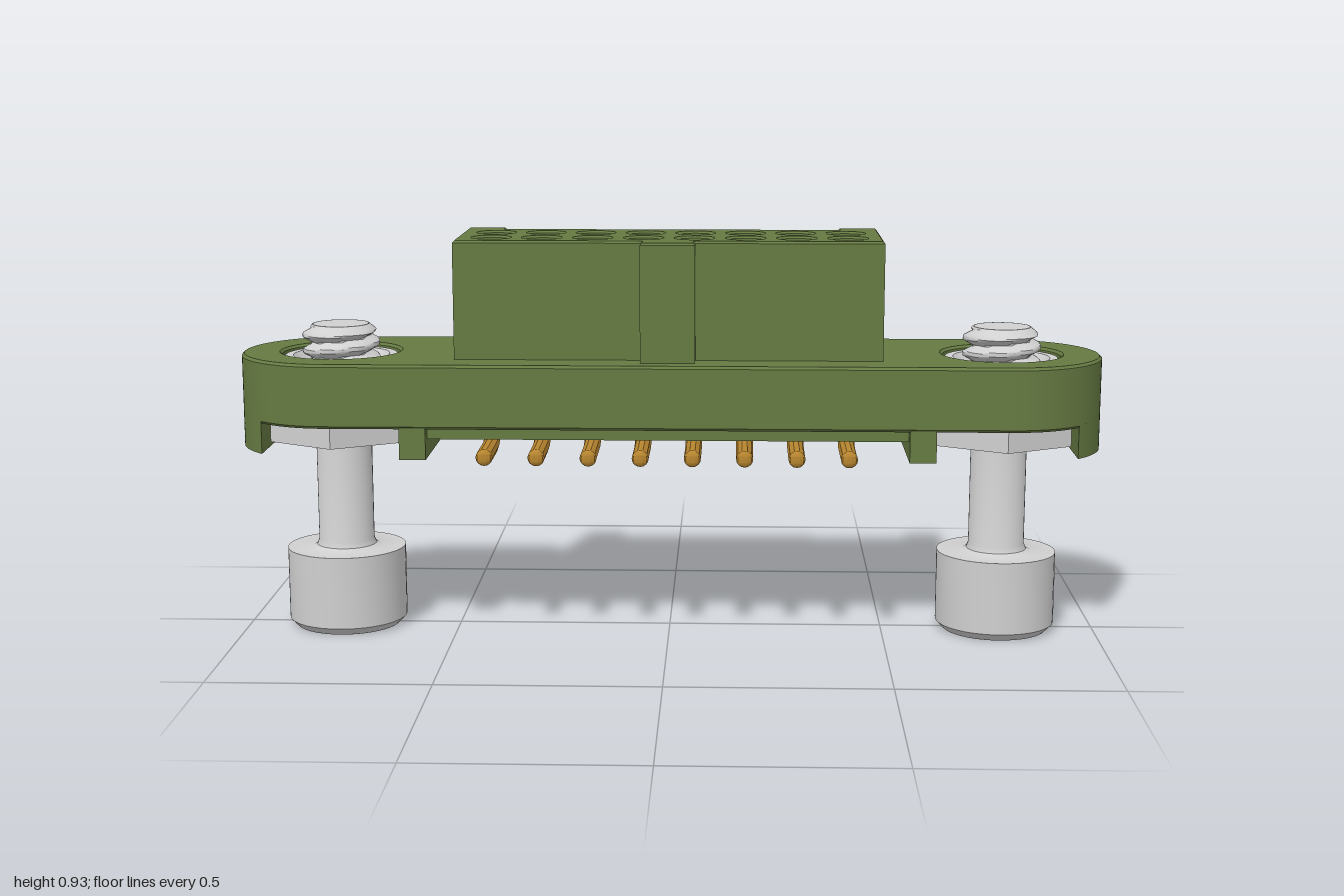
import * as THREE from 'three';
import { toCreasedNormals } from 'three/addons/utils/BufferGeometryUtils.js';

const green = new THREE.MeshStandardMaterial({ color: 0x667a42 });
green.name = 'olive plastic';
const metal = new THREE.MeshStandardMaterial({ color: 0xd0d0d0, side: THREE.DoubleSide });
metal.name = 'light steel';
const gold = new THREE.MeshStandardMaterial({ color: 0xb8862f, side: THREE.DoubleSide });
gold.name = 'gold contact';

const SCREW_X = 0.77;
const V = (x, y) => new THREE.Vector2(x, y);

function add(parent, name, geometry, material) {
  const mesh = new THREE.Mesh(toCreasedNormals(geometry, 0.6), material);
  mesh.name = name;
  parent.add(mesh);
  return mesh;
}

// Extrude a plan outline (shape y = -z) upward from y0 to y1
function slab(shape, y0, y1, bevel = 0, segments = 16) {
  const g = new THREE.ExtrudeGeometry(shape, {
    depth: y1 - y0 - 2 * bevel, bevelEnabled: bevel > 0, bevelSize: bevel,
    bevelThickness: bevel, bevelOffset: -bevel, bevelSegments: 1, curveSegments: segments,
  });
  return g.rotateX(-Math.PI / 2).translate(0, y0 + bevel, 0);
}

function box(x0, x1, y0, y1, z0, z1) {
  return new THREE.BoxGeometry(x1 - x0, y1 - y0, z1 - z0)
    .translate((x0 + x1) / 2, (y0 + y1) / 2, (z0 + z1) / 2);
}

function circle(x, z, r) {
  return new THREE.Path().absarc(x, -z, r, 0, Math.PI * 2, true);
}

function polygon(points) {
  return new THREE.Shape(points.map(([x, z]) => V(x, -z)));
}

const lathe = (points, n = 40) => new THREE.LatheGeometry(points.map(([r, y]) => V(r, y)), n);

// Positions of the contacts: two rows of eight
const contacts = [];
for (let i = 0; i < 8; i++) for (const side of [-1, 1]) contacts.push([-0.408 + i * 0.1166, side]);
const rowZ = (side) => side * 0.058 - 0.003;

function makeFlange() {
  const flange = new THREE.Group();
  flange.name = 'flange';

  // Stadium plate with screw holes and a central cavity
  const plate = new THREE.Shape();
  plate.absarc(0.775, 0, 0.225, -Math.PI / 2, Math.PI / 2, false);
  plate.absarc(-0.775, 0, 0.225, Math.PI / 2, Math.PI * 1.5, false);
  plate.holes.push(circle(SCREW_X, 0, 0.137), circle(-SCREW_X, 0, 0.137));
  plate.holes.push(new THREE.Path([V(-0.48, -0.13), V(-0.48, 0.13), V(0.48, 0.13), V(0.48, -0.13)]));
  add(flange, 'flangePlate', slab(plate, 0.51, 0.657, 0.006, 24), green);
  add(flange, 'cavityCeiling', box(-0.483, 0.483, 0.57, 0.65, -0.133, 0.133), green);

  // Rounded end skirts and cross ribs on either side of each nut
  const a = Math.acos((0.93 - 0.775) / 0.225);
  const skirt = new THREE.Shape().absarc(0.775, 0, 0.225, -a, a, false);
  for (const s of [-1, 1]) {
    const end = add(flange, 'endSkirt', slab(skirt, 0.44, 0.518), green);
    if (s < 0) end.rotation.y = Math.PI;
    add(flange, 'crossRib', box(s * 0.575 - 0.03, s * 0.575 + 0.03, 0.44, 0.518, -0.223, 0.223), green);
    // Long low walls beside the pin tails
    add(flange, 'sideWall', box(-0.55, 0.55, 0.482, 0.518, s * 0.165 - 0.025, s * 0.165 + 0.025), green);
  }
  return flange;
}

function makeHousing() {
  const housing = new THREE.Group();
  housing.name = 'housing';
  // Block with front key and rear corner ears
  const outline = polygon([
    [-0.488, 0.135], [-0.062, 0.135], [-0.062, 0.181], [0.062, 0.181], [0.062, 0.135], [0.488, 0.135],
    [0.488, -0.181], [0.395, -0.181], [0.395, -0.146], [-0.395, -0.146], [-0.395, -0.181], [-0.488, -0.181],
  ]);
  for (const [x, side] of contacts) outline.holes.push(circle(x, rowZ(side), 0.042));
  add(housing, 'socketBlock', slab(outline, 0.645, 0.928, 0.005, 12), green);
  return housing;
}

function makeContacts() {
  const group = new THREE.Group();
  group.name = 'contacts';
  for (const [x, side] of contacts) {
    const z = rowZ(side);
    // Funnel contact with a closed bottom
    const cup = add(group, 'contactCup',
      lathe([[0, 0.78], [0.014, 0.78], [0.028, 0.82], [0.041, 0.84]], 12), gold);
    cup.position.set(x, 0, z);
    // Bent tail leading out past the flange
    const path = new THREE.CatmullRomCurve3([
      [0.6, z], [0.53, z], [0.485, z + side * 0.018], [0.458, z + side * 0.06], [0.455, side * 0.16], [0.455, side * 0.262],
    ].map(([y, pz]) => new THREE.Vector3(x, y, pz)));
    add(group, 'pinTail', new THREE.TubeGeometry(path, 20, 0.019, 10), gold);
    const tip = add(group, 'pinTip', new THREE.SphereGeometry(0.019, 10, 8), gold);
    tip.scale.z = 0.5;
    tip.position.set(x, 0.455, side * 0.262);
  }
  return group;
}

function makeThread() {
  // Helical ridge made by moving cylinder vertices in and out
  const y0 = 0.61, y1 = 0.72, pitch = 0.037;
  const g = new THREE.CylinderGeometry(1, 1, y1 - y0, 32, 24, true).translate(0, (y0 + y1) / 2, 0);
  const p = g.attributes.position;
  for (let i = 0; i < p.count; i++) {
    const x = p.getX(i), y = p.getY(i), z = p.getZ(i);
    const turn = y / pitch - Math.atan2(x, z) / (2 * Math.PI);
    const wave = Math.abs((turn - Math.floor(turn)) * 2 - 1);
    const ridge = 0.066 + 0.024 * Math.min(1, wave * 1.4);
    const r = Math.min(ridge, 0.066 + (y1 - y) * 1.2);
    p.setXYZ(i, x * r, y, z * r);
  }
  return g;
}

function makeScrew() {
  const screw = new THREE.Group();
  screw.name = 'jackScrew';
  // Chamfered head, fillet and shaft
  add(screw, 'headAndShaft', lathe([[0.122, 0], [0.139, 0.018], [0.139, 0.188], [0.08, 0.188],
    [0.07, 0.194], [0.065, 0.207], [0.065, 0.72], [0, 0.72]]), metal);
  // Six-lobed drive recess in the underside of the head
  const face = new THREE.Shape().absarc(0, 0, 0.122, 0, Math.PI * 2, false);
  const lobes = [];
  for (let i = 0; i < 48; i++) {
    const t = (i / 48) * Math.PI * 2, r = 0.073 + 0.011 * Math.cos(6 * t);
    lobes.push(V(r * Math.cos(t), r * Math.sin(t)));
  }
  face.holes.push(new THREE.Path(lobes));
  add(screw, 'headFace', slab(face, 0, 0.09, 0, 24), metal);
  add(screw, 'recessFloor', new THREE.CircleGeometry(0.1, 24).rotateX(Math.PI / 2).translate(0, 0.085, 0), metal);
  add(screw, 'thread', makeThread(), metal);

  // Hexagonal nut with its collar filling the flange hole
  add(screw, 'hexNut', new THREE.CylinderGeometry(0.179, 0.179, 0.06, 6).translate(0, 0.484, 0), metal);
  add(screw, 'nutCollar', lathe([[0.135, 0.51], [0.135, 0.64], [0.13, 0.648], [0.112, 0.648],
    [0.092, 0.625], [0.06, 0.625]]), metal);
  return screw;
}

export function createModel() {
  const model = new THREE.Group();
  model.name = 'socketConnector';
  model.add(makeFlange(), makeHousing(), makeContacts());
  for (const s of [-1, 1]) {
    const screw = makeScrew();
    screw.position.x = s * SCREW_X;
    model.add(screw);
  }
  return model;
}
